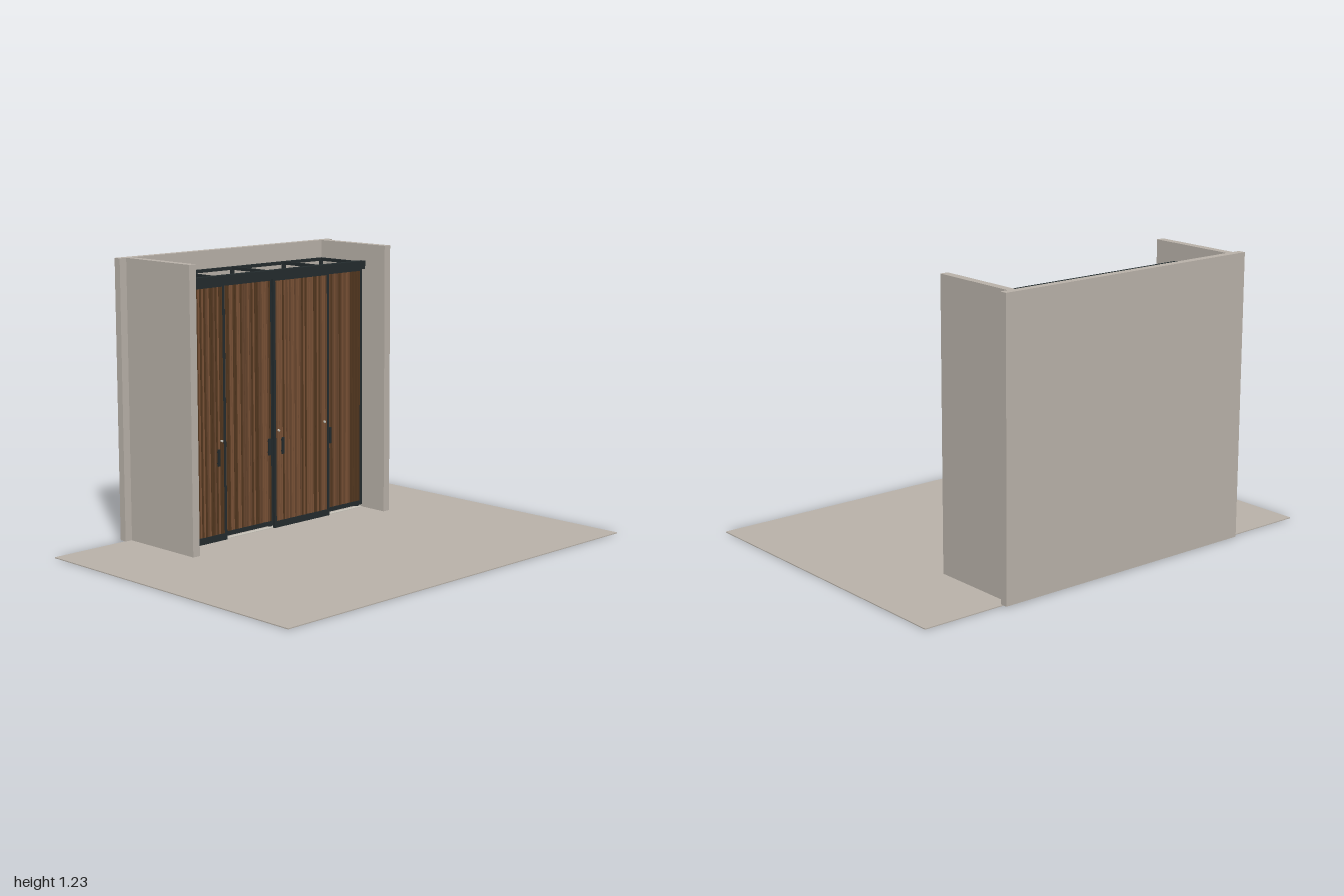
import * as THREE from 'three';

const mat = (name, color) => {
  const m = new THREE.MeshStandardMaterial({ color });
  m.name = name;
  return m;
};

export function createModel() {
  const plaster = mat('plaster', 0xb8b1a8);
  const frame = mat('dark metal', 0x232b2d);
  const shelf = mat('pale board', 0xb9a47e);
  const backing = mat('dark wood backing', 0x3a281c);
  const woods = [mat('walnut', 0x68452d), mat('light walnut', 0x7a5236), mat('deep walnut', 0x53371f)];
  const steel = mat('pale metal', 0xc8c4ba);

  const model = new THREE.Group();
  model.name = 'slidingWardrobe';

  // Box given by its limits on each axis
  function box(parent, name, material, x0, x1, y0, y1, z0, z1) {
    const m = new THREE.Mesh(new THREE.BoxGeometry(x1 - x0, y1 - y0, z1 - z0), material);
    m.position.set((x0 + x1) / 2, (y0 + y1) / 2, (z0 + z1) / 2);
    m.name = name;
    parent.add(m);
    return m;
  }

  // Room: floor slab and the alcove walls
  box(model, 'floor', plaster, -1, 1, 0, 0.004, -0.695, 0.72);
  box(model, 'backWall', plaster, -0.63, 0.63, 0.005, 1.23, -0.72, -0.686);
  box(model, 'rightWall', plaster, -0.595, -0.559, 0.004, 1.23, -0.686, -0.28);
  box(model, 'leftWall', plaster, 0.559, 0.595, 0.004, 1.23, -0.686, -0.28);

  // Open carcass: posts, cross bars and long rails
  const carcass = new THREE.Group();
  carcass.name = 'carcass';
  model.add(carcass);
  const top = 1.15, t = 0.014, back = -0.685, front = -0.437;
  for (const x of [-0.549, -0.315, -0.004, 0.309, 0.549]) {
    for (const z of [back, front - t]) {
      box(carcass, 'post', frame, x - t / 2, x + t / 2, 0.004, top, z, z + t);
    }
    for (const y of [0.01, top - t]) {
      box(carcass, 'crossBar', frame, x - t / 2, x + t / 2, y, y + t, back + t, front - t);
    }
  }
  for (const z of [back, front - t]) {
    for (const y of [0.01, top - t]) {
      box(carcass, 'longRail', frame, -0.556, 0.556, y, y + t, z, z + t);
    }
  }
  box(carcass, 'baseBoard', shelf, -0.546, 0.546, 0.018, 0.026, back + t, front - t);

  // Head track over the doors
  box(model, 'headTrack', frame, -0.556, 0.556, 1.13, 1.155, -0.426, -0.396);
  box(model, 'headTrackLip', frame, -0.556, 0.556, 1.118, 1.13, -0.424, -0.399);

  // Seeded shade choice for the slats
  let seed = 7;
  const random = () => (seed = (seed * 16807) % 2147483647) / 2147483647;

  // One sliding door: framed panel with slats on the face
  function door(name, x0, x1, z, bottom, handleX, knobX) {
    const g = new THREE.Group();
    g.name = name;
    model.add(g);
    const s = 0.012, zb = z - 0.013;
    box(g, 'bottomRail', frame, x0, x1, bottom, 0.036, zb, z);
    box(g, 'topRail', frame, x0, x1, 1.108, 1.122, zb, z);
    box(g, 'stile', frame, x0, x0 + s, 0.036, 1.108, zb, z);
    box(g, 'stile', frame, x1 - s, x1, 0.036, 1.108, zb, z);
    box(g, 'backing', backing, x0 + s, x1 - s, 0.036, 1.108, zb + 0.003, z - 0.006);
    box(g, 'innerPanel', woods[0], x0 + s, x1 - s, 0.036, 1.108, zb + 0.001, zb + 0.003);
    const count = Math.round((x1 - x0 - 2 * s) / 0.0105);
    const pitch = (x1 - x0 - 2 * s) / count;
    for (let i = 0; i < count; i++) {
      const x = x0 + s + (i + 0.15) * pitch;
      const wood = woods[Math.floor(random() * woods.length)];
      box(g, 'slat', wood, x, x + pitch * 0.7, 0.036, 1.118, z - 0.006, z - 0.001);
    }
    // Pull handle on two stand-offs
    box(g, 'handle', frame, handleX - 0.006, handleX + 0.006, 0.338, 0.412, z + 0.005, z + 0.011);
    for (const y of [0.35, 0.4]) {
      box(g, 'handleMount', frame, handleX - 0.003, handleX + 0.003, y - 0.003, y + 0.003, z - 0.002, z + 0.005);
    }
    // Small round lock
    if (knobX !== null) {
      const knob = new THREE.Mesh(new THREE.CylinderGeometry(0.005, 0.005, 0.008, 16), steel);
      knob.name = 'lock';
      knob.rotation.x = Math.PI / 2;
      knob.position.set(knobX, 0.445, z + 0.002);
      g.add(knob);
    }
  }
  // Two doors on the front track, two on the rear track
  const near = -0.4, far = -0.418;
  door('doorOne', -0.556, -0.298, near, 0.006, -0.347, -0.325);
  door('doorTwo', -0.31, -0.004, far, 0.016, -0.035, null);
  door('doorThree', -0.016, 0.325, near, 0.006, 0.03, 0.01);
  door('doorFour', 0.3, 0.556, far, 0.016, 0.342, null);
  const lock = model.getObjectByName('doorThree').getObjectByName('lock').clone();
  lock.position.x = 0.294;
  model.getObjectByName('doorThree').add(lock);

  // Bottom track under the doors
  box(model, 'floorTrack', steel, -0.556, 0.556, 0.004, 0.007, -0.432, -0.414);

  return model;
}
